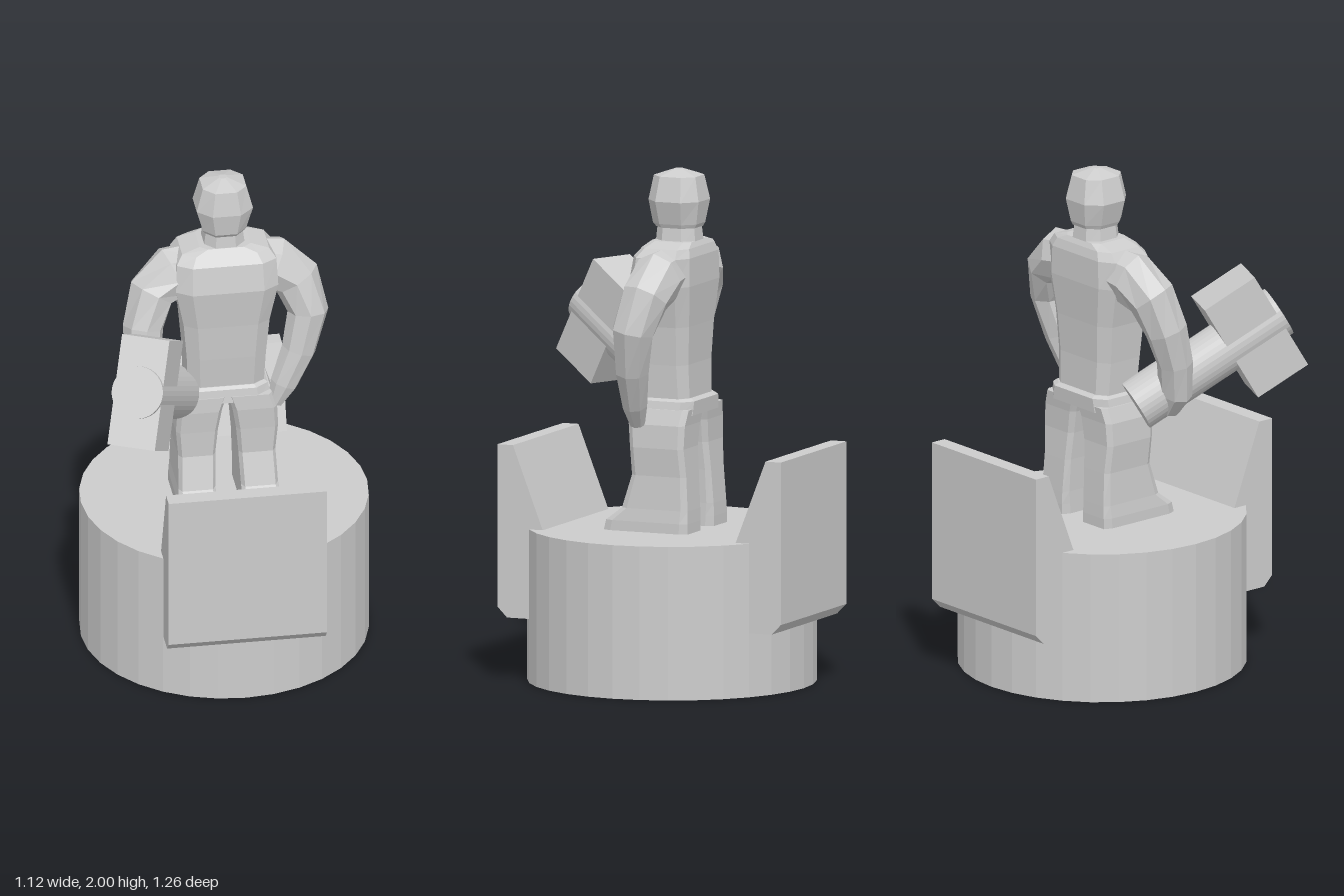
import * as THREE from 'three';

const stone = new THREE.MeshStandardMaterial({ color: 0xcccccc });
stone.name = 'stone grey';

// Faceted mesh
function part(name, geo, parent) {
  const flat = geo.index ? geo.toNonIndexed() : geo;
  flat.computeVertexNormals();
  const mesh = new THREE.Mesh(flat, stone);
  mesh.name = name;
  parent.add(mesh);
  return mesh;
}

// Skin a list of equal-length rings and cap both ends
function loft(rings) {
  const n = rings[0].length, pos = [], idx = [];
  for (const ring of rings) for (const p of ring) pos.push(p.x, p.y, p.z);
  for (let r = 0; r < rings.length - 1; r++) {
    for (let i = 0; i < n; i++) {
      const a = r * n + i, b = r * n + (i + 1) % n;
      idx.push(a, b, b + n, a, b + n, a + n);
    }
  }
  const top = (rings.length - 1) * n;
  for (let i = 1; i < n - 1; i++) {
    idx.push(0, i + 1, i);
    idx.push(top, top + i, top + i + 1);
  }
  const geo = new THREE.BufferGeometry();
  geo.setAttribute('position', new THREE.Float32BufferAttribute(pos, 3));
  geo.setIndex(idx);
  return geo;
}

// Horizontal chamfered rectangle; cut is the corner share of each half side
function slice(y, x0, x1, zFront, zBack, cut) {
  const cx = (x0 + x1) / 2, cz = (zFront + zBack) / 2;
  const hx = (x1 - x0) / 2, hz = (zFront - zBack) / 2, k = 1 - cut;
  return [[1, -k], [1, k], [k, 1], [-k, 1], [-1, k], [-1, -k], [-k, -1], [k, -1]]
    .map(([a, b]) => new THREE.Vector3(cx + a * hx, y, cz - b * hz));
}

// Symmetric body from rows of [y, half width, front z, back z]
const body = (rows, cut) => loft(rows.map(([y, w, f, b]) => slice(y, -w, w, f, b, cut)));

// Limb from rows of [x, y, z, in-plane radius, depth radius]
function limb(rows, sides = 8) {
  const c = rows.map(([x, y, z]) => new THREE.Vector3(x, y, z));
  return loft(rows.map(([, , , ru, rv], i) => {
    const t = c[Math.min(i + 1, c.length - 1)].clone().sub(c[Math.max(i - 1, 0)]).normalize();
    const v = new THREE.Vector3(0, 0, 1).addScaledVector(t, -t.z).normalize();
    const u = v.clone().cross(t);
    return Array.from({ length: sides }, (_, k) => {
      const a = (k / sides) * Math.PI * 2;
      return c[i].clone().addScaledVector(u, ru * Math.cos(a)).addScaledVector(v, rv * Math.sin(a));
    });
  }));
}

export function createModel() {
  const model = new THREE.Group();
  model.name = 'statue';

  // Round pedestal with a slanted plaque at front and back
  const pedestal = new THREE.Group();
  pedestal.name = 'pedestal';
  pedestal.position.z = -0.03;
  model.add(pedestal);
  part('drum', new THREE.CylinderGeometry(0.56, 0.56, 0.6, 32), pedestal).position.y = 0.3;
  const profile = new THREE.Shape([[0.405, 0.25], [0.56, 0.25], [0.6, 0.29], [0.6, 0.925], [0.535, 0.925], [0.405, 0.59]]
    .map(([z, y]) => new THREE.Vector2(z, y)));
  for (const [name, turn] of [['frontPlaque', 0], ['backPlaque', Math.PI]]) {
    const geo = new THREE.ExtrudeGeometry(profile, { depth: 0.62, bevelEnabled: false });
    geo.rotateY(-Math.PI / 2).translate(0.31, 0, 0);
    part(name, geo, pedestal).rotation.y = turn;
  }

  const figure = new THREE.Group();
  figure.name = 'figure';
  model.add(figure);

  // Legs with forward feet: [y, inner x, outer x, front z, back z]
  const legRows = [
    [0.6, 0.05, 0.2, 0.175, -0.18], [0.64, 0.05, 0.2, 0.165, -0.18], [0.69, 0.05, 0.195, 0.1, -0.178],
    [0.82, 0.045, 0.19, 0.06, -0.17], [0.93, 0.035, 0.2, 0.065, -0.162], [1.02, 0.02, 0.195, 0.073, -0.165],
    [1.08, 0, 0.175, 0.07, -0.172],
  ];
  for (const s of [1, -1]) {
    const rings = legRows.map(([y, a, b, f, k]) =>
      slice(y, s > 0 ? a : -b, s > 0 ? b : -a, f, k, 0.18));
    part(s > 0 ? 'leftLeg' : 'rightLeg', loft(rings), figure);
  }

  // Trunk
  part('hips', body([[1.055, 0.175, 0.07, -0.172], [1.11, 0.162, 0.062, -0.175], [1.12, 0.15, 0.05, -0.16]], 0.3), figure);
  part('torso', body([
    [1.1, 0.148, 0.045, -0.152], [1.25, 0.155, 0.06, -0.148], [1.4, 0.168, 0.072, -0.155],
    [1.56, 0.2, 0.09, -0.168], [1.67, 0.195, 0.07, -0.166], [1.705, 0.17, 0.04, -0.156], [1.725, 0.1, 0.022, -0.145],
  ], 0.3), figure);

  // Neck and head
  part('neck', body([[1.7, 0.082, 0.022, -0.148], [1.78, 0.072, 0.015, -0.14]], 0.5), figure);
  part('head', body([
    [1.775, 0.078, 0.02, -0.145], [1.79, 0.085, 0.032, -0.152], [1.88, 0.11, 0.045, -0.167],
    [1.975, 0.085, 0.028, -0.148], [2.0, 0.015, -0.045, -0.075],
  ], 0.5), figure);

  // Arms: the left hangs to the hip, the right holds the hammer
  part('leftArm', limb([
    [0.08, 1.61, -0.065, 0.1, 0.09], [0.2, 1.595, -0.06, 0.11, 0.1], [0.285, 1.53, -0.045, 0.095, 0.095],
    [0.325, 1.4, -0.01, 0.08, 0.085], [0.285, 1.24, 0.01, 0.068, 0.068], [0.225, 1.1, 0.025, 0.055, 0.05],
    [0.19, 1.02, 0.03, 0.03, 0.03],
  ]), figure);
  part('rightArm', limb([
    [-0.08, 1.61, -0.065, 0.1, 0.09], [-0.2, 1.595, -0.05, 0.11, 0.1], [-0.285, 1.53, -0.02, 0.095, 0.095],
    [-0.325, 1.4, 0.02, 0.08, 0.085], [-0.33, 1.26, 0.06, 0.07, 0.07], [-0.305, 1.13, 0.08, 0.075, 0.062],
    [-0.27, 1.05, 0.08, 0.04, 0.04],
  ]), figure);

  // Raised hammer: local z runs along the handle, y along the head
  const hammer = new THREE.Group();
  hammer.name = 'hammer';
  const across = new THREE.Vector3(0.912, 0, 0.41);
  const along = new THREE.Vector3(-0.355, 0.5, 0.79).normalize();
  const up = along.clone().cross(across).normalize();
  hammer.quaternion.setFromRotationMatrix(new THREE.Matrix4().makeBasis(across.normalize(), up, along));
  hammer.position.set(-0.375, 1.333, 0.4);
  model.add(hammer);
  part('hammerHead', new THREE.BoxGeometry(0.19, 0.43, 0.232), hammer);
  const handle = new THREE.CylinderGeometry(0.102, 0.102, 0.665, 32).rotateX(Math.PI / 2);
  part('hammerHandle', handle, hammer).position.z = -0.197;

  return model;
}
